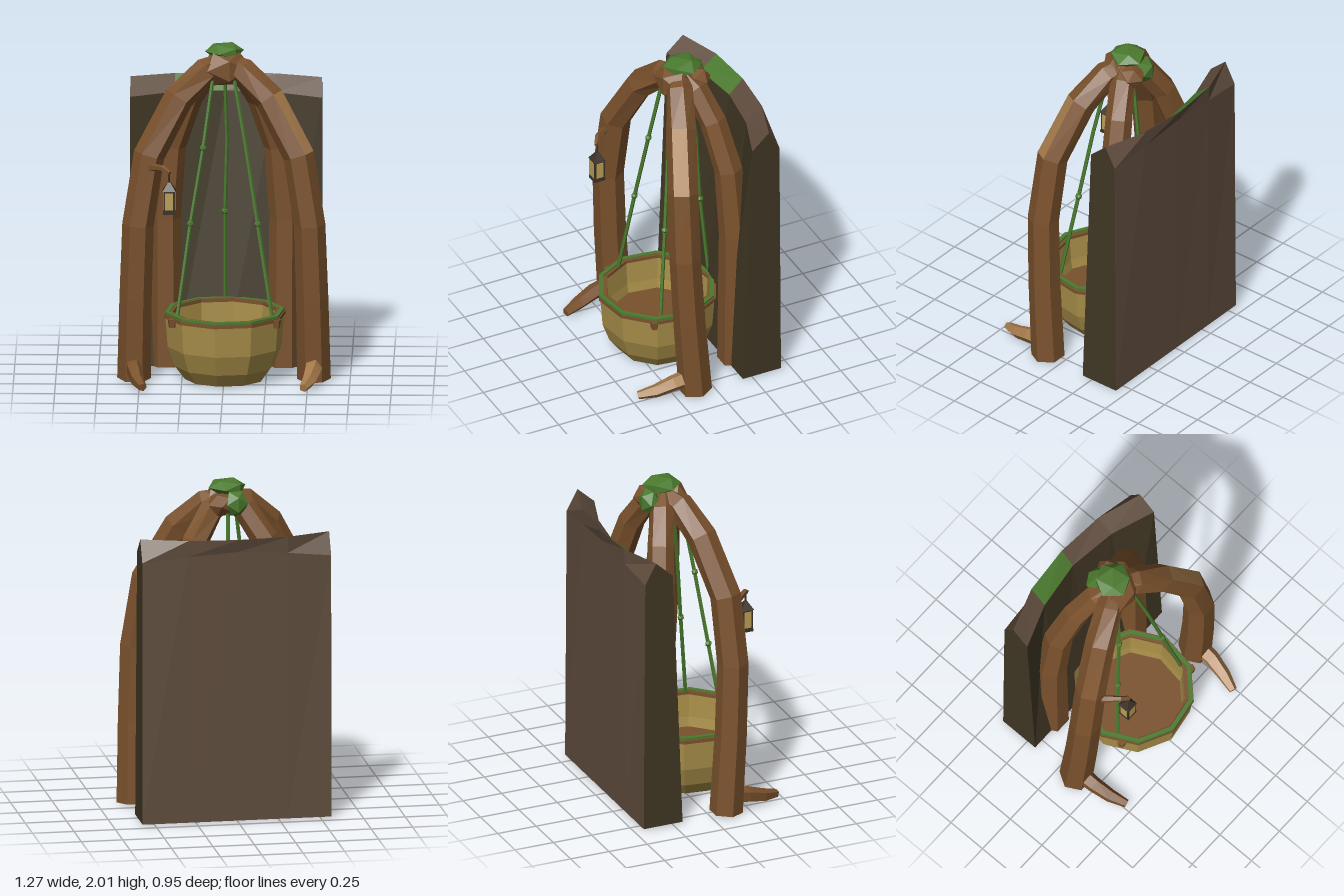
import * as THREE from 'three';

const mat = (name, color) => {
  const m = new THREE.MeshStandardMaterial({ color });
  m.name = name;
  return m;
};
const V = (x, y, z) => new THREE.Vector3(x, y, z);

// Faceted normals for any geometry
function facet(geo) {
  const g = geo.index ? geo.toNonIndexed() : geo;
  g.computeVertexNormals();
  return g;
}

// Geometry from a list of corner triples
function fromTriangles(tris) {
  return facet(new THREE.BufferGeometry().setFromPoints(tris.flat()));
}

// Sweep a polygon along stations [x, y, z, radius]; keep(j, i) selects faces
function sweep(path, sides, ref, keep = () => true, caps = true) {
  const pts = path.map(p => V(p[0], p[1], p[2]));
  const rings = pts.map((p, j) => {
    const t = pts[Math.min(j + 1, pts.length - 1)].clone().sub(pts[Math.max(j - 1, 0)]).normalize();
    const s = ref.clone().cross(t).normalize();
    const b = t.clone().cross(s);
    return Array.from({ length: sides }, (_, i) => {
      const a = (i / sides) * Math.PI * 2;
      return p.clone().addScaledVector(s, path[j][3] * Math.cos(a)).addScaledVector(b, path[j][3] * Math.sin(a));
    });
  });
  const tris = [];
  const last = rings.length - 1;
  for (let i = 0; i < sides; i++) {
    const n = (i + 1) % sides;
    for (let j = 0; j < last; j++) {
      if (!keep(j, i)) continue;
      const A = rings[j], B = rings[j + 1];
      tris.push([A[i], A[n], B[n]], [A[i], B[n], B[i]]);
    }
    if (caps) tris.push([pts[0], rings[0][n], rings[0][i]], [pts[last], rings[last][i], rings[last][n]]);
  }
  return fromTriangles(tris);
}

export function createModel() {
  const model = new THREE.Group();
  model.name = 'hangingBasketShelter';

  const bark = mat('bark', 0x7a512c);
  const paleBark = mat('pale bark', 0xa67b4b);
  const outer = mat('trunk bark', 0x5f4c3d);
  const inner = mat('trunk hollow', 0x403724);
  const moss = mat('moss', 0x4b7a2e);
  const wicker = mat('basket wicker', 0xa88e48);
  const dark = mat('dark wood', 0x4a3018);
  const iron = mat('lantern frame', 0x3a3026);
  const glow = mat('lantern glass', 0xbda056);
  inner.side = outer.side = THREE.DoubleSide; // the slab is a hollow shell, open below

  const add = (name, geo, material, x = 0, y = 0, z = 0, parent = model) => {
    const m = new THREE.Mesh(geo, material);
    m.name = name;
    m.position.set(x, y, z);
    parent.add(m);
    return m;
  };
  const Y = V(0, 1, 0), Z = V(0, 0, 1);

  // Back slab: cross-sections in z, y from front base over the crest to back base
  const edge = [[-0.187, 0], [-0.25, 1.63], [-0.36, 1.73], [-0.43, 1.6], [-0.44, 0]];
  const mid = [[-0.187, 0], [-0.345, 1.64], [-0.45, 1.73], [-0.445, 1.63], [-0.44, 0]];
  const centre = [[-0.187, 0], [-0.385, 1.64], [-0.475, 1.73], [-0.45, 1.65], [-0.44, 0]];
  const cols = [[-0.565, edge], [-0.3, mid], [0, centre], [0.3, mid], [0.575, edge]]
    .map(([x, prof]) => prof.map(([z, y]) => V(x, y, z)));
  const slab = { front: [], bark: [], moss: [] };
  for (let c = 0; c < 4; c++) {
    for (let k = 0; k < 4; k++) {
      const list = k === 0 ? slab.front : k === 1 && c === 1 ? slab.moss : slab.bark;
      const [A, B] = [cols[c], cols[c + 1]];
      list.push([A[k], B[k], B[k + 1]], [A[k], B[k + 1], A[k + 1]]);
    }
  }
  for (let k = 1; k < 4; k++) {
    slab.front.push([cols[0][0], cols[0][k], cols[0][k + 1]], [cols[4][0], cols[4][k + 1], cols[4][k]]);
  }
  add('slabHollowFace', fromTriangles(slab.front), inner);
  add('slabBark', fromTriangles(slab.bark), outer);
  add('slabMoss', fromTriangles(slab.moss), moss);

  // Arched legs and front roots
  const frontLeg = [[0.535, 0, 0.11, 0.1], [0.525, 0.5, 0.145, 0.096], [0.51, 0.95, 0.165, 0.094],
    [0.445, 1.37, 0.147, 0.093], [0.27, 1.7, 0.07, 0.09], [0.11, 1.85, 0.0, 0.082], [0, 1.88, -0.06, 0.07]];
  const backLeg = [[0.35, 0, -0.24, 0.1], [0.355, 0.9, -0.24, 0.092], [0.315, 1.35, -0.22, 0.085],
    [0.21, 1.65, -0.17, 0.08], [0.1, 1.83, -0.11, 0.075], [0, 1.88, -0.06, 0.07]];
  const root = [[0.535, 0.095, 0.15, 0.055], [0.53, 0.08, 0.25, 0.05], [0.51, 0.045, 0.36, 0.042], [0.478, 0.025, 0.462, 0.026]];
  const flip = (path, s) => path.map(([x, ...rest]) => [x * s, ...rest]);
  const isPale = (j, i) => j === 3 && i === 2;
  for (const [s, side] of [[1, 'left'], [-1, 'right']]) {
    add(side + 'FrontLeg', sweep(flip(frontLeg, s), 6, Z, (j, i) => s < 0 || !isPale(j, i)), bark);
    add(side + 'BackLeg', sweep(flip(backLeg, s), 6, Z), bark);
    add(side + 'FrontRoot', sweep(flip(root, s), 5, Y), s > 0 ? paleBark : bark);
  }
  add('paleBarkPatch', sweep(frontLeg, 6, Z, isPale, false), paleBark);

  // Crown where the legs meet
  const lump = (name, m, p, size, turn) => {
    const o = add(name, facet(new THREE.IcosahedronGeometry(1, 0)), m, ...p);
    o.scale.set(...size);
    o.rotation.y = turn;
  };
  lump('crownKnot', bark, [0.01, 1.862, -0.01], [0.15, 0.115, 0.1], 0.25);
  lump('backKnot', bark, [0.05, 1.87, -0.145], [0.085, 0.075, 0.085], 0.9);
  lump('crownMoss', moss, [0, 1.958, -0.07], [0.118, 0.05, 0.118], 0.75);
  lump('trailingMoss', moss, [-0.035, 1.875, -0.165], [0.08, 0.085, 0.065], 0.2);

  // Basket
  const basket = new THREE.Group();
  basket.name = 'basket';
  basket.position.set(0.004, 0, 0.095);
  model.add(basket);
  const lathe = pts => facet(new THREE.LatheGeometry(pts.map(p => new THREE.Vector2(...p)), 10, -0.15));
  const ring = (r0, r1, y0, y1) => lathe([[r0, y0], [r1, y0], [r1, y1], [r0, y1], [r0, y0]]);
  add('basketBowl', lathe([[0.24, 0], [0.3, 0.08], [0.343, 0.2], [0.357, 0.39], [0.315, 0.39], [0.305, 0.25], [0.285, 0.15]]), wicker, 0, 0, 0, basket);
  add('basketBase', lathe([[0, 0.002], [0.242, 0.002], [0.242, 0.012]]), dark, 0, 0, 0, basket);
  add('basketFloor', lathe([[0.295, 0.19], [0, 0.19]]), bark, 0, 0, 0, basket);
  add('rimWood', ring(0.315, 0.366, 0.38, 0.402), bark, 0, 0, 0, basket);
  add('rimInnerWood', ring(0.312, 0.332, 0.4, 0.412), bark, 0, 0, 0, basket);
  add('rimMoss', ring(0.332, 0.358, 0.4, 0.416), moss, 0, 0, 0.006, basket);

  // Hanging vines, their buds and rim pegs
  const vines = [
    [[-0.07, 1.8, 0.03], [-0.125, 1.4, 0.09], [-0.2, 0.95, 0.145], [-0.275, 0.41, 0.215]],
    [[0.06, 1.8, 0.03], [0.13, 1.4, 0.09], [0.2, 0.95, 0.145], [0.285, 0.41, 0.215]],
    [[0.0, 1.8, -0.11], [0.012, 1.4, -0.16], [0.0, 0.95, -0.19], [0, 0.41, -0.245]]];
  vines.forEach((v, n) => {
    add('vine' + n, sweep(v.map(p => [...p, 0.012]), 5, Z), moss);
    v.slice(n === 0 ? 1 : 2, 3).forEach(p => add('vineBud', facet(new THREE.IcosahedronGeometry(0.022, 0)), moss, ...p));
    const a = [-0.305, 0.315, 0][n], z = [0.27, 0.27, -0.262][n];
    const peg = add('rimPeg', facet(new THREE.CylinderGeometry(0.029, 0.022, 0.05, 5)), bark, a, 0.372, z);
    peg.rotation.y = a * 2;
  });

  // Lantern on a bent bracket
  add('lanternBracket', sweep([[-0.46, 1.3, 0.17, 0.026], [-0.41, 1.318, 0.25, 0.022],
    [-0.36, 1.328, 0.31, 0.018], [-0.318, 1.305, 0.34, 0.014]], 5, Y), bark);
  const lantern = new THREE.Group();
  lantern.name = 'lantern';
  lantern.position.set(-0.322, 0, 0.332);
  model.add(lantern);
  const box = (w, h, d) => new THREE.BoxGeometry(w, h, d);
  add('lanternHook', facet(new THREE.CylinderGeometry(0.006, 0.006, 0.08, 5)), iron, 0, 1.28, 0, lantern);
  const roof = add('lanternRoof', facet(new THREE.CylinderGeometry(0.012, 0.056, 0.05, 4)), iron, 0, 1.222, 0, lantern);
  roof.rotation.y = Math.PI / 4;
  add('lanternFrame', box(0.068, 0.14, 0.068), iron, 0, 1.13, 0, lantern);
  add('lanternFoot', box(0.074, 0.014, 0.074), iron, 0, 1.064, 0, lantern);
  add('lanternGlassFrontBack', box(0.046, 0.104, 0.074), glow, 0, 1.135, 0, lantern);
  add('lanternGlassSides', box(0.074, 0.104, 0.046), glow, 0, 1.135, 0, lantern);

  return model;
}
